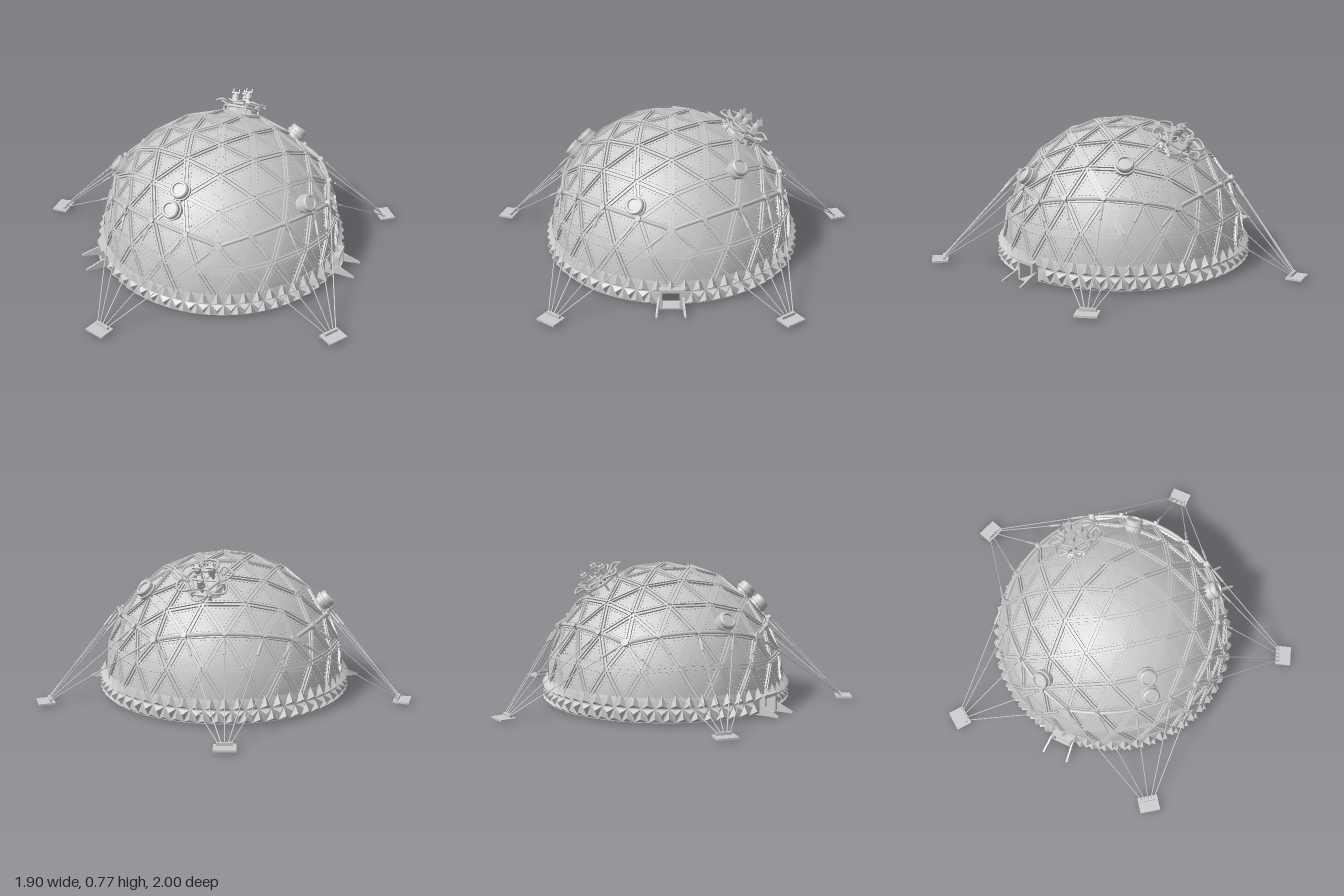
import * as THREE from 'three';
import { mergeGeometries, toCreasedNormals } from 'three/addons/utils/BufferGeometryUtils.js';

const R = 0.65, BASE = 0.1;             // dome radius and height of its equator
const rad = THREE.MathUtils.degToRad;
const V = (x, y, z) => new THREE.Vector3(x, y, z);
const UP = V(0, 1, 0);
const mat = new THREE.MeshStandardMaterial({ color: 0xcccccc, side: THREE.DoubleSide });
const flat = new THREE.MeshStandardMaterial({ color: 0xcccccc, flatShading: true });
const DOORS = [0, 144];

// position on a circle around the dome axis, angle in degrees from +x towards +z
const polar = (deg, r, y) => V(r * Math.cos(rad(deg)), y, r * Math.sin(rad(deg)));

function add(parent, name, geos, material = mat) {
  const list = (Array.isArray(geos) ? geos : [geos]).map((g) => (g.index ? g.toNonIndexed() : g));
  const mesh = new THREE.Mesh(mergeGeometries(list), material);
  mesh.name = name;
  parent.add(mesh);
  return mesh;
}

function rod(a, b, r, sides = 6) {
  const d = b.clone().sub(a);
  const g = new THREE.CylinderGeometry(r, r, d.length(), sides);
  g.applyQuaternion(new THREE.Quaternion().setFromUnitVectors(UP, d.normalize()));
  return g.translate(...a.clone().add(b).multiplyScalar(0.5).toArray());
}

// place a geometry made facing +x at the given angle
const spin = (g, deg) => g.rotateY(-rad(deg));
const box = (w, h, d, x, y, z) => new THREE.BoxGeometry(w, h, d).translate(x, y, z);

// geodesic dome: icosahedron with one corner at the pole, cut at the equator
function buildDome(root) {
  const t = (1 + Math.sqrt(5)) / 2;
  const ico = new THREE.IcosahedronGeometry(R, 3).rotateZ(-Math.atan(1 / t));
  const p = ico.attributes.position, pos = [];
  for (let i = 0; i < p.count; i += 3) {
    const tri = [0, 1, 2].map((k) => V().fromBufferAttribute(p, i + k));
    if (tri.every((v) => v.y > -1e-3)) tri.forEach((v) => pos.push(v.x, v.y, v.z));
  }
  const shell = new THREE.BufferGeometry();
  shell.setAttribute('position', new THREE.Float32BufferAttribute(pos, 3));
  const normals = pos.map((n) => n / R);
  shell.setAttribute('normal', new THREE.Float32BufferAttribute(normals, 3));
  add(root, 'domeShell', shell.clone().translate(0, BASE, 0));

  // paired struts and rows of rivets along every edge
  const e = new THREE.EdgesGeometry(shell, 1).attributes.position;
  const struts = [], rivets = [];
  for (let i = 0; i < e.count; i += 2) {
    const a = V().fromBufferAttribute(e, i), b = V().fromBufferAttribute(e, i + 1);
    const mid = a.clone().add(b).multiplyScalar(0.5), len = a.distanceTo(b);
    const z = b.clone().sub(a).normalize(), y = mid.clone().normalize();
    const m = new THREE.Matrix4().makeBasis(V().crossVectors(y, z), y, z);
    m.setPosition(mid.x, mid.y + BASE, mid.z);
    for (const s of [-1, 1]) {
      struts.push(box(0.008, 0.018, len - 0.012, s * 0.009, 0, 0).applyMatrix4(m));
      for (let k = -3; k <= 3; k++)
        rivets.push(box(0.004, 0.006, 0.007, s * 0.024, 0, k * len * 0.1).applyMatrix4(m));
    }
  }
  add(root, 'domeStruts', struts);
  add(root, 'rivets', rivets);
}

// base wall in two arcs that leave the doorways free, ringed by faceted spikes
function buildBase(root) {
  const profile = [[0.632, 0.01], [0.658, 0.01], [0.658, 0.1], [0.648, 0.135], [0.632, 0.125], [0.632, 0.01]]
    .map(([x, y]) => new THREE.Vector2(x, y));
  const gap = 4.4, walls = [], panels = [], spikes = [];
  for (const [a, b] of [[gap, 144 - gap], [144 + gap, 360 - gap]]) {
    walls.push(toCreasedNormals(new THREE.LatheGeometry(profile, Math.round((b - a) / 4),
      Math.PI / 2 - rad(b), rad(b - a)), 0.5));
  }
  add(root, 'baseWall', walls);
  const nearDoor = (deg) => DOORS.some((d) => Math.abs(((deg - d + 540) % 360) - 180) < 6.5);
  const spike = (deg, y, up) => {
    const g = new THREE.ConeGeometry(0.04, 0.03, 3).rotateX(Math.PI / 2).scale(1, 1.15, 1);
    if (up) g.rotateZ(Math.PI);
    g.rotateY(Math.PI / 2).translate(0.668, y, 0);
    spikes.push(spin(g, deg));
  };
  for (let i = 0; i < 60; i++) {
    const deg = i * 6;
    spike(deg, 0.103, true);
    if (!nearDoor(deg)) spike(deg, 0.057, false);
    if (!nearDoor(deg + 3)) {
      spike(deg + 3, 0.033, true);
      panels.push(spin(box(0.008, 0.11, 0.006, 0.63, 0.066, 0), deg + 3));
    }
  }
  add(root, 'baseSpikes', spikes, flat);
  add(root, 'innerWallSeams', panels);
}

// doorway frame, inner hood and two splayed fins outside
function buildDoor(root, deg) {
  const door = new THREE.Group();
  door.name = 'door';
  door.rotation.y = -rad(deg);
  root.add(door);
  const parts = [box(0.07, 0.008, 0.1, 0.655, 0.004, 0), box(0.07, 0.016, 0.116, 0.655, 0.1, 0)];
  const fins = [];
  const shape = new THREE.Shape([[0, 0], [0.11, 0], [0.11, 0.008], [0.03, 0.045], [0, 0.055]]
    .map(([x, y]) => new THREE.Vector2(x, y)));
  for (const s of [-1, 1]) {
    parts.push(box(0.07, 0.1, 0.014, 0.655, 0.05, s * 0.05));
    fins.push(new THREE.ExtrudeGeometry(shape, { depth: 0.01, bevelEnabled: false })
      .translate(0, 0.005, -0.005).rotateY(-s * 0.1).translate(0.67, 0, s * 0.06));
  }
  add(door, 'doorFrame', parts);
  add(door, 'doorFins', fins);
  const hood = new THREE.Shape([[-0.06, 0], [0.06, 0], [0.09, 0.05], [-0.09, 0.05]]
    .map(([x, y]) => new THREE.Vector2(x, y)));
  add(door, 'doorHood', new THREE.ExtrudeGeometry(hood, { depth: 0.03, bevelEnabled: false })
    .rotateY(Math.PI / 2).translate(0.605, 0.1, 0));
}

// tension band along the five upper great-circle arcs, with cables to ground plates
function buildRigging(root) {
  const lat = Math.atan(0.5), nodes = [], clamps = [];
  const corner = (k) => polar(k * 72, Math.cos(lat), Math.sin(lat));
  const onDome = (v, r) => v.clone().normalize().multiplyScalar(r).add(V(0, BASE, 0));
  const bandPoints = [];
  for (let k = 0; k < 5; k++) {
    const a = corner(k), b = corner(k + 1);
    const at = (t) => a.clone().lerp(b, t);
    for (let j = 0; j < 12; j++) bandPoints.push(onDome(at(j / 12), 0.663));
    nodes.push([0, 0.25, 0.5, 0.75, 1].map((t) => at(t)));
    for (let j = 0; j < 4; j++)
      clamps.push(rod(onDome(at(j / 4), 0.64), onDome(at(j / 4), 0.683), j ? 0.014 : 0.02, 8));
  }
  add(root, 'tensionBand', new THREE.TubeGeometry(
    new THREE.CatmullRomCurve3(bandPoints, true), 160, 0.01, 6, true));
  add(root, 'bandClamps', clamps);

  nodes.forEach((row, k) => {
    const deg = k * 72 + 36, cables = [], buckles = [];
    row.forEach((n, j) => {
      const top = onDome(n, 0.675);
      const foot = spin(new THREE.BufferGeometry().setFromPoints([V(0.968, 0.03, (j - 2) * 0.016)]), deg);
      const low = V().fromBufferAttribute(foot.attributes.position, 0);
      cables.push(rod(top, low, 0.0032, 5));
      buckles.push(rod(top.clone().lerp(low, 0.08), top.clone().lerp(low, 0.2), 0.007, 6));
    });
    add(root, 'anchorCables', cables);
    add(root, 'turnbuckles', buckles);
    add(root, 'anchorPlate', [
      box(0.085, 0.01, 0.11, 0.99, 0.015, 0), box(0.014, 0.016, 0.08, 0.968, 0.027, 0),
    ].map((g) => spin(g, deg)));
  });
}

// a group sitting on the dome, its y axis pointing straight out
function outward(root, name, dir) {
  const g = new THREE.Group();
  g.name = name;
  g.quaternion.setFromUnitVectors(UP, dir.clone().normalize());
  g.position.y = BASE;
  root.add(g);
  return g;
}

function buildPorthole(root, dir) {
  const g = outward(root, 'porthole', dir);
  const pts = [[0, 0.62], [0.046, 0.62], [0.046, 0.66], [0.052, 0.662], [0.052, 0.676], [0.046, 0.678],
    [0.046, 0.7], [0.04, 0.706], [0.032, 0.706], [0.03, 0.696], [0, 0.698]].map(([x, y]) => new THREE.Vector2(x, y));
  add(g, 'portholeHousing', toCreasedNormals(new THREE.LatheGeometry(pts, 24), 0.5));
}

// hexagonal instrument platform with hoops, lattice and masts
function buildInstruments(root) {
  const g = outward(root, 'instrumentPlatform', V(-0.02, 0.56, -0.37));
  const frame = [], hoops = [], masts = [];
  const hex = (i, r, y) => polar(i * 60, r, y);
  add(g, 'platformBase', new THREE.CylinderGeometry(0.075, 0.1, 0.035, 6).translate(0, 0.65, 0), flat);
  for (let i = 0; i < 6; i++) {
    for (const [r, y] of [[0.1, 0.675], [0.075, 0.695]]) frame.push(rod(hex(i, r, y), hex(i + 1, r, y), 0.008));
    frame.push(rod(hex(i, 0.1, 0.675), hex(i, 0.075, 0.695), 0.006));
    frame.push(rod(hex(i, 0.1, 0.675), hex(i, 0.1, 0.62), 0.006));
    frame.push(rod(hex(i, 0.075, 0.695), V(0, 0.695, 0), 0.005));
    hoops.push(new THREE.TubeGeometry(new THREE.CatmullRomCurve3([
      hex(i + 0.15, 0.085, 0.685), hex(i + 0.15, 0.125, 0.705), hex(i + 0.5, 0.148, 0.695),
      hex(i + 0.85, 0.125, 0.705), hex(i + 0.85, 0.085, 0.685)]), 16, 0.006, 6));
  }
  [[0.035, 0.02, 0.765], [-0.03, 0.045, 0.75], [0.0, -0.055, 0.76]].forEach(([x, z, h]) => {
    masts.push(rod(V(x, 0.66, z), V(x, h, z), 0.009, 8), rod(V(x, h - 0.035, z), V(x, h - 0.01, z), 0.02, 8));
    masts.push(box(0.044, 0.008, 0.03, x, h, z), box(0.03, 0.03, 0.03, x, 0.705, z));
    for (const s of [-1, 1]) masts.push(box(0.006, 0.025, 0.006, x + s * 0.016, h + 0.01, z));
  });
  add(g, 'platformFrame', frame);
  add(g, 'platformHoops', hoops);
  add(g, 'instrumentMasts', masts);
}

export function createModel() {
  const model = new THREE.Group();
  model.name = 'geodesicShelter';
  const root = new THREE.Group();
  root.name = 'dome';
  root.position.x = 0.08;
  model.add(root);
  buildDome(root);
  buildBase(root);
  DOORS.forEach((d) => buildDoor(root, d));
  buildRigging(root);
  const ports = [V(-0.08, 0.43, 0.53), V(-0.06, 0.51, 0.46), V(0.54, 0.4, 0.18), V(-0.54, 0.4, 0.17), V(0.32, 0.5, -0.34)];
  ports.forEach((d) => buildPorthole(root, d));
  buildInstruments(root);

  // sagging duct inside, joining the front and side portholes
  const duct = [[-0.07, 0.5, 0.5], [-0.12, 0.42, 0.5], [-0.19, 0.45, 0.45], [-0.31, 0.49, 0.34],
    [-0.42, 0.45, 0.25], [-0.49, 0.38, 0.22], [-0.52, 0.4, 0.16], [-0.5, 0.47, 0.16]].map((p) => V(...p));
  add(root, 'innerDuct', new THREE.TubeGeometry(new THREE.CatmullRomCurve3(duct), 60, 0.018, 10));
  return model;
}
